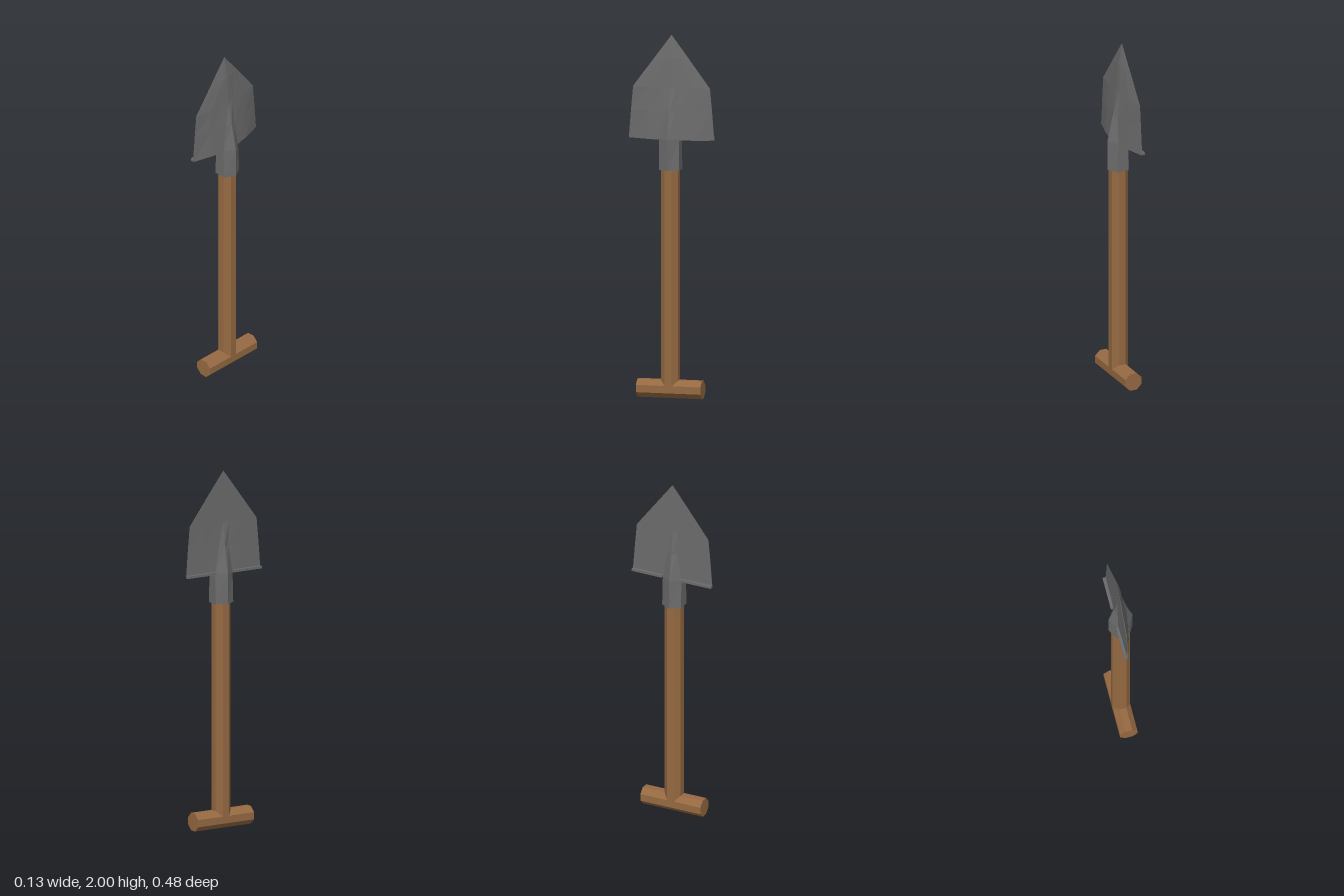
import * as THREE from 'three';

// Closed flat-shaded loft through rings of [x, y, z]; rings run counterclockwise seen from above.
function loft(rings) {
  const pos = [];
  const same = (a, b) => a.every((v, i) => Math.abs(v - b[i]) < 1e-6);
  const tri = (a, b, c) => {
    if (!same(a, b) && !same(b, c) && !same(a, c)) pos.push(...a, ...b, ...c);
  };
  const n = rings[0].length;
  for (let r = 0; r < rings.length - 1; r++) {
    const a = rings[r], b = rings[r + 1];
    for (let i = 0; i < n; i++) {
      const j = (i + 1) % n;
      tri(a[i], a[j], b[j]);
      tri(a[i], b[j], b[i]);
    }
  }
  const first = rings[0], last = rings[rings.length - 1];
  for (let i = 0; i < n; i++) {
    const j = (i + 1) % n;
    tri([0, first[0][1], 0], first[j], first[i]);
    if (!same(last[i], last[j])) tri([0, last[0][1], 0], last[i], last[j]);
  }
  const g = new THREE.BufferGeometry();
  g.setAttribute('position', new THREE.Float32BufferAttribute(pos, 3));
  g.computeVertexNormals();
  return g;
}

// Mirrored blade section: z stations from edge to centre, with front and back x at each.
function bladeRing(y, zs, front, back) {
  const f = zs.map((z, i) => [front[i], y, z]);
  const b = zs.map((z, i) => [back[i], y, z]);
  const flip = (list) => list.slice(0, -1).reverse().map(([x, h, z]) => [x, h, -z]);
  return [...f, ...flip(f), ...[...b, ...flip(b)].reverse()];
}

// Six-sided socket section with ridges toward +x and -x.
function socketRing(y, ridge, corner, z) {
  return [[corner, y, z], [ridge, y, 0], [corner, y, -z],
    [-corner, y, -z], [-ridge, y, 0], [-corner, y, z]];
}

export function createModel() {
  const model = new THREE.Group();
  const wood = new THREE.MeshStandardMaterial({ color: 0x966a42, flatShading: true });
  const metal = new THREE.MeshStandardMaterial({ color: 0x6b6b6b, flatShading: true });
  const add = (name, geometry, material) => {
    const mesh = new THREE.Mesh(geometry, material);
    mesh.name = name;
    model.add(mesh);
    return mesh;
  };

  // Eight-sided wooden bar with flats facing the axes
  const bar = (length) =>
    new THREE.CylinderGeometry(0.053, 0.053, length, 8).rotateY(Math.PI / 8);

  // Shaft and cross grip
  add('shaft', bar(1.25).translate(0, 0.675, 0), wood);
  add('grip', bar(0.366).rotateX(Math.PI / 2).translate(0, 0.05, 0), wood);

  // Socket around the shaft
  add('socket', loft([
    socketRing(1.26, 0.067, 0.035, 0.057),
    socketRing(1.43, 0.067, 0.027, 0.057),
  ]), metal);

  // Pointed blade: flat back, bulged front, central ridge fading upward
  const tip = Array(4).fill(-0.022);
  add('blade', loft([
    bladeRing(1.425, [0.242, 0.13, 0.057, 0], [-0.019, 0.014, 0.027, 0.067], [-0.023, -0.024, -0.027, -0.067]),
    bladeRing(1.58, [0.23, 0.13, 0.03, 0], [-0.019, 0.005, 0.021, 0.034], [-0.022, -0.023, -0.024, -0.037]),
    bladeRing(1.71, [0.218, 0.125, 0.035, 0], [-0.019, -0.003, 0.007, 0.01], [-0.022, -0.022, -0.022, -0.022]),
    bladeRing(1.87, [0.098, 0.06, 0.02, 0], [-0.02, -0.012, -0.004, -0.002], [-0.022, -0.022, -0.022, -0.022]),
    bladeRing(2, [0, 0, 0, 0], tip, tip),
  ]), metal);

  // Narrow foot treads along the back of the blade's lower edge
  for (const side of [1, -1]) {
    const tread = add('footTread', new THREE.BoxGeometry(0.022, 0.014, 0.186), metal);
    tread.position.set(-0.029, 1.432, side * 0.149);
  }
  return model;
}
